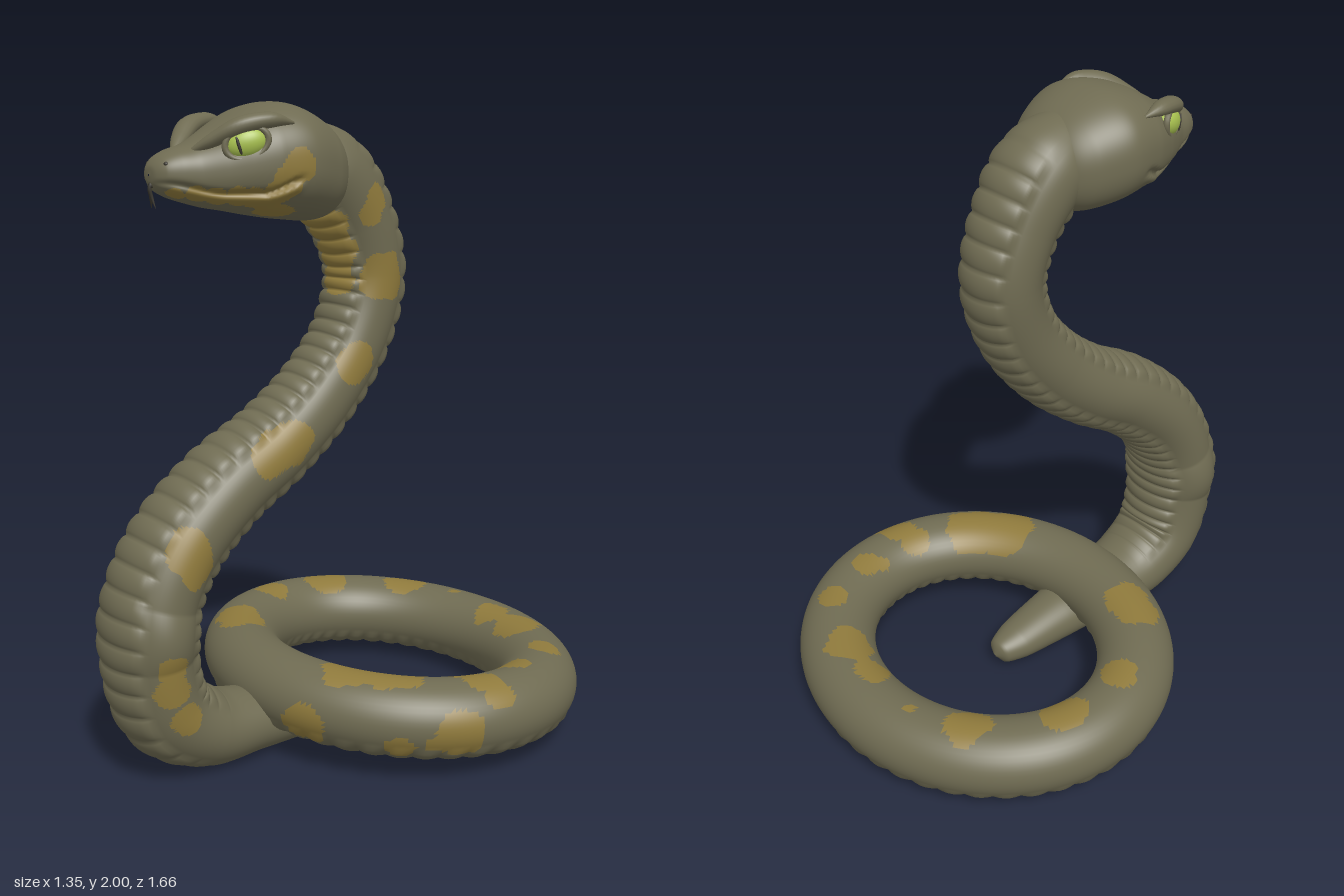
import * as THREE from 'three';

const V = (x, y, z) => new THREE.Vector3(x, y, z);
const std = (name, color) => Object.assign(new THREE.MeshStandardMaterial({ color }), { name });
const smooth = THREE.MathUtils.smoothstep;

// Surface from a grid of cross-sections: point(u, angle) for u in 0..1
function loft(rows, cols, point, closed = false) {
  const pos = [], index = [];
  const rings = closed ? rows : rows + 1;
  for (let i = 0; i < rings; i++)
    for (let j = 0; j < cols; j++) pos.push(...point(i / rows, (j / cols) * Math.PI * 2).toArray());
  for (let i = 0; i < rows; i++)
    for (let j = 0; j < cols; j++) {
      const k = (j + 1) % cols, n = ((i + 1) % rings) * cols, m = i * cols;
      index.push(m + j, m + k, n + j, m + k, n + k, n + j);
    }
  const g = new THREE.BufferGeometry();
  g.setAttribute('position', new THREE.Float32BufferAttribute(pos, 3));
  g.setIndex(index);
  g.computeVertexNormals();
  return g;
}

// Point on a cross-section: a along ref, b along tangent x ref
function sectionPoint(center, tangent, ref, a, b) {
  const e1 = ref.clone().addScaledVector(tangent, -ref.dot(tangent)).normalize();
  const e2 = tangent.clone().cross(e1);
  return center.clone().addScaledVector(e1, a).addScaledVector(e2, b);
}

// Tube through rows of [x, y, z, radiusA, radiusB]; relief(u, angle) swells the skin
function sweep(pts, ref, rows, cols, relief = () => 0) {
  const path = new THREE.CatmullRomCurve3(pts.map(p => V(p[0], p[1], p[2])));
  const size = new THREE.CatmullRomCurve3(pts.map(p => V(p[3], p[4], 0)));
  return loft(rows, cols, (u, q) => {
    const t = path.getUtoTmapping(u), s = size.getPoint(t), h = relief(u, q);
    return sectionPoint(path.getPoint(t), path.getTangent(t), ref,
      (s.x + h) * Math.cos(q), (s.y + h) * Math.sin(q));
  });
}

// Splits the faces into skin (0) and blotches (1), blotches given as [x, y, z, radius]
function paint(g, spots) {
  const p = g.attributes.position, src = g.index.array, lists = [[], []], c = V(0, 0, 0), v = V(0, 0, 0);
  for (let i = 0; i < src.length; i += 3) {
    c.set(0, 0, 0);
    for (let k = 0; k < 3; k++) c.add(v.fromBufferAttribute(p, src[i + k]));
    c.divideScalar(3);
    const wobble = 1 + 0.13 * Math.sin(c.z * 47 + c.x * 20) * Math.cos(c.y * 41 + c.x * 33);
    const hit = spots.some(s => Math.hypot(c.x - s[0], c.y - s[1], c.z - s[2]) < s[3] * wobble);
    lists[hit ? 1 : 0].push(src[i], src[i + 1], src[i + 2]);
  }
  g.setIndex([...lists[0], ...lists[1]]);
  g.addGroup(0, lists[0].length, 0);
  g.addGroup(lists[0].length, lists[1].length, 1);
  return g;
}

export function createModel() {
  const model = new THREE.Group();
  model.name = 'snake';
  const skin = std('olive skin', 0x6f6b52), gold = std('gold blotch', 0x8f7a3c);
  const green = std('eye green', 0xa9c250), dark = std('dark', 0x35322a);
  const add = (name, geo, mat, parent = model) => {
    const m = new THREE.Mesh(geo, mat);
    m.name = name;
    parent.add(m);
    return m;
  };

  // Rising body, from tail tip to the back of the head
  const bodyPts = [
    [.02, .05, -.175, .004, .004], [.02, .055, -.155, .045, .042], [.02, .065, -.08, .075, .062],
    [.02, .085, .1, .1, .085], [.025, .1, .33, .125, .1], [.03, .12, .5, .145, .12],
    [.033, .21, .635, .155, .13], [.035, .39, .685, .162, .13], [.035, .56, .67, .162, .13],
    [.035, .72, .585, .157, .13], [.033, .87, .42, .148, .127], [.03, .98, .24, .138, .122],
    [.028, 1.12, .07, .126, .118], [.025, 1.29, -.06, .122, .114], [.02, 1.475, -.115, .126, .114],
    [.02, 1.64, -.07, .133, .12], [.02, 1.79, .04, .145, .135], [.02, 1.84, .15, .12, .12],
  ];
  const scutes = (u, q) => {
    const plate = smooth(Math.abs(Math.sin(q)), .66, .74) * smooth(u, .2, .3) * (1 - smooth(u, .93, .98));
    return plate * (.003 + .011 * Math.pow(Math.abs(Math.sin(u * Math.PI * 48)), .6));
  };
  const body = sweep(bodyPts, V(1, 0, 0), 480, 64, scutes);
  const bp = body.attributes.position;
  for (let i = 0; i < bp.count; i++) bp.setY(i, Math.max(0, bp.getY(i)));
  body.computeVertexNormals();
  add('body', paint(body, [
    [.15, 1.48, -.1, .08], [.15, 1.72, -.07, .045], [.15, 1.67, -.04, .04], [.15, 1.22, .005, .065],
    [.17, 1.01, .25, .07], [.17, .98, .32, .07], [.19, .74, .62, .07], [.19, .68, .6, .055],
    [.19, .4, .69, .05], [.19, .33, .69, .055], [.18, .23, .64, .05],
    [.06, 1.63, .07, .08], [.06, 1.55, .03, .075], [.04, 1.47, .0, .06],
  ]), [skin, gold]);

  // Coil lying on the ground, slightly higher at the front
  const coil = loft(220, 48, (u, q) => {
    const w = u * Math.PI * 2, z = Math.sin(w) * .467;
    const tangent = V(-.55 * Math.sin(w), .026 * Math.cos(w), .467 * Math.cos(w)).normalize();
    const h = smooth(-Math.cos(q), .5, .62) * .007 * Math.abs(Math.sin(w * 22));
    return sectionPoint(V(.55 * Math.cos(w), .167 + z * .055, z - .235), tangent, V(0, 1, 0),
      (.118 + h) * Math.cos(q), (.127 + h) * Math.sin(q));
  }, true);
  add('coil', paint(coil, [
    [-.35, .26, -.59, .075], [-.175, .27, -.68, .022], [.05, .27, -.65, .068], [.2, .26, -.64, .085],
    [.43, .27, -.55, .055], [.49, .28, -.36, .055], [.46, .28, -.32, .04], [.48, .28, -.16, .055],
    [.56, .28, -.17, .06], [.62, .25, -.18, .05], [.39, .29, .04, .1], [.3, .29, .12, .1],
    [.28, .15, .31, .075], [.65, .17, -.02, .085], [.63, .13, .05, .05], [.54, .12, .13, .05],
    [-.51, .28, -.34, .075], [-.51, .28, -.1, .062], [-.34, .29, .15, .075], [-.27, .29, .17, .075],
  ]), [skin, gold]);

  // Head sections: [z, top, bottom, half width]
  const headPts = [
    [.02, 1.82, 1.76, .03], [.04, 1.9, 1.69, .13], [.1, 1.955, 1.655, .185], [.22, 2, 1.66, .228],
    [.32, 1.985, 1.675, .213], [.4, 1.945, 1.69, .18], [.46, 1.91, 1.7, .145], [.52, 1.882, 1.715, .108],
    [.57, 1.868, 1.73, .088], [.61, 1.848, 1.75, .064], [.63, 1.825, 1.77, .035], [.635, 1.8, 1.795, .003],
  ];
  const outline = new THREE.CatmullRomCurve3(headPts.map(p => V(p[0], p[1], p[2])));
  const width = new THREE.CatmullRomCurve3(headPts.map(p => V(p[3], 0, 0)));
  const soft = v => Math.sign(v) * Math.pow(Math.abs(v), .87);
  const bell = (d, w) => Math.exp(-(d * d) / (w * w));
  const head = loft(130, 120, (t, q) => {
    const s = outline.getPoint(t), half = width.getPoint(t).x;
    const y = (s.y + s.z) / 2 + ((s.y - s.z) / 2) * soft(Math.sin(q));
    // Mouth crease with a fuller lower lip
    const d = y - (1.745 + .03 * smooth(s.x, .45, .62) + .04 * (1 - smooth(s.x, .25, .36)));
    const mouth = smooth(s.x, .24, .3) * (.05 * bell(d + .026, .016) - .11 * bell(d, .009));
    return V(.02 + half * soft(Math.cos(q)) * (1 + mouth), y, s.x);
  });
  add('head', paint(head, [
    [.23, 1.82, .27, .05], [.22, 1.78, .3, .045], [.21, 1.74, .33, .045], [.18, 1.72, .38, .045],
    [.16, 1.725, .43, .04], [.13, 1.73, .48, .035], [.1, 1.74, .53, .03], [.07, 1.745, .58, .028],
    [.14, 1.68, .3, .06],
  ]), [skin, gold]);

  for (const s of [1, -1]) {
    const side = s > 0 ? 'left' : 'right';
    const x = v => .02 + s * v;
    // Angry brow ridge
    add(side + 'Brow', sweep([
      [x(.185), 1.94, .27, .004, .004], [x(.178), 1.948, .34, .022, .028], [x(.145), 1.932, .42, .026, .034],
      [x(.09), 1.89, .485, .02, .026], [x(.035), 1.85, .54, .004, .004],
    ], V(0, 1, 0), 28, 16), skin);

    // Eye with slit pupil and rim, its long axis slanting down to the snout
    const eye = new THREE.Group();
    eye.name = side + 'Eye';
    eye.position.set(x(.149), 1.885, .405);
    eye.lookAt(eye.position.clone().add(V(-s * .45, -.3, .85)));
    model.add(eye);
    add('eyeball', new THREE.SphereGeometry(1, 28, 20), green, eye).scale.set(.034, .042, .06);
    const pupil = add('pupil', new THREE.SphereGeometry(1, 12, 10), dark, eye);
    pupil.scale.set(.004, .026, .005);
    pupil.position.set(s * .03, 0, .024);
    const rim = add('eyeRim', new THREE.TorusGeometry(1, .16, 10, 36).rotateY(Math.PI / 2), skin, eye);
    rim.scale.set(.06, .043, .062);
    rim.position.x = s * .012;

    // Nostril and one half of the forked tongue
    const nostril = add(side + 'Nostril', new THREE.SphereGeometry(.007, 12, 8), dark);
    nostril.position.set(x(.052), 1.828, .607);
    add(side + 'TongueFork', sweep([
      [.02, 1.78, .6, .006, .006], [.02, 1.765, .632, .006, .006],
      [x(.003), 1.735, .628, .005, .005], [x(.012), 1.705, .622, .001, .001],
    ], V(1, 0, 0), 16, 8), dark);
  }
  return model;
}
